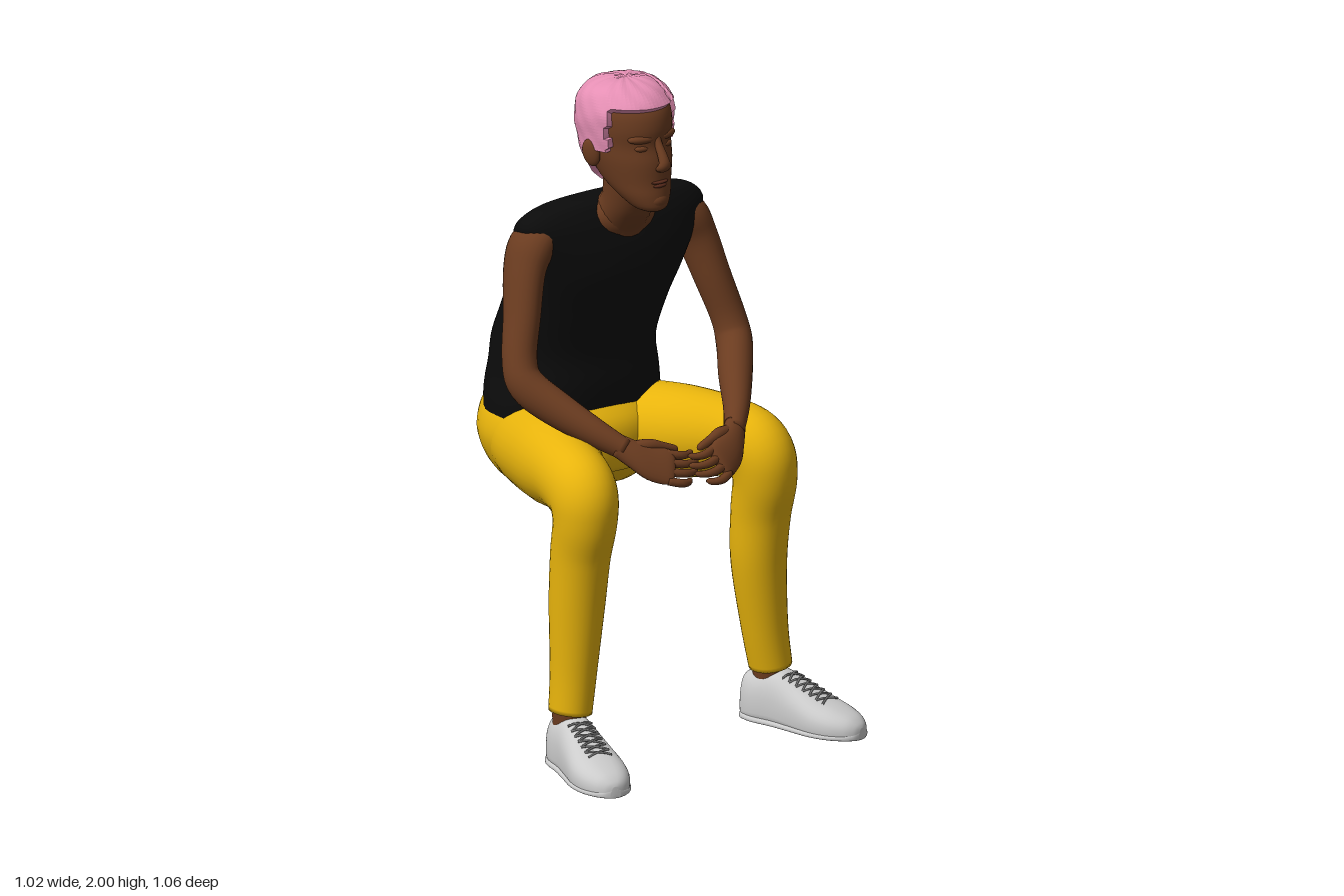
import * as THREE from 'three';

const mat = (color, extra = {}) => new THREE.MeshStandardMaterial({ color, ...extra });
const SKIN = mat(0x6b3c20), SHIRT = mat(0x0b0b0b), PANTS = mat(0xe8b40c);
const HAIR = mat(0xe58fb4, { flatShading: true }), SHOE = mat(0xcccccc), LACE = mat(0x777777), LIP = mat(0x5a2c1c);

const add = (parent, name, geo, material) => {
  const m = new THREE.Mesh(geo, material);
  m.name = name;
  parent.add(m);
  return m;
};

// Smooth interpolation through rows of numbers
function smoothRows(rows, n) {
  const out = [], last = rows.length - 1;
  for (let k = 0; k <= n; k++) {
    const f = (k / n) * last, i = Math.min(Math.floor(f), last - 1), t = f - i;
    const p = rows[Math.max(i - 1, 0)], q = rows[i], r = rows[i + 1], s = rows[Math.min(i + 2, last)];
    out.push(q.map((v, c) => {
      const cubic = 3 * (v - r[c]) + s[c] - p[c];
      const square = 2 * p[c] - 5 * v + 4 * r[c] - s[c];
      return v + 0.5 * t * (r[c] - p[c] + t * (square + t * cubic));
    }));
  }
  return out;
}

// Skin a closed surface over rings of points
function loft(rings) {
  const n = rings[0].length, pos = [], idx = [];
  rings.forEach(r => r.forEach(p => pos.push(p.x, p.y, p.z)));
  for (let i = 0; i < rings.length - 1; i++) for (let j = 0; j < n; j++) {
    const a = i * n + j, b = i * n + (j + 1) % n;
    idx.push(a, b, b + n, a, b + n, a + n);
  }
  [rings[0], rings[rings.length - 1]].forEach((r, e) => {
    const c = r.reduce((s, p) => s.add(p), new THREE.Vector3()).divideScalar(n);
    const ci = pos.length / 3, o = e * (rings.length - 1) * n;
    pos.push(c.x, c.y, c.z);
    for (let j = 0; j < n; j++) {
      const a = o + j, b = o + (j + 1) % n;
      if (e) idx.push(ci, a, b);
      else idx.push(ci, b, a);
    }
  });
  const g = new THREE.BufferGeometry();
  g.setAttribute('position', new THREE.Float32BufferAttribute(pos, 3));
  g.setIndex(idx);
  g.computeVertexNormals();
  return g;
}

const pw = (v, e) => Math.sign(v) * Math.abs(v) ** e;

// Level rings: rows of [y, centre x, back z, front z, half width]
function body(rows, n, seg, e = 1, rule = p => p) {
  return loft(smoothRows(rows, n).map(([y, x, zb, zf, w]) => Array.from({ length: seg }, (_, j) => {
    const t = (j / seg) * Math.PI * 2;
    return rule(new THREE.Vector3(x + w * pw(Math.sin(t), e), y, (zb + zf) / 2 + (zf - zb) / 2 * pw(Math.cos(t), e)), t);
  })));
}

// Limb along a bent path: rows of [x, y, z, radius along ref, other radius]
function limb(rows, n = 30, seg = 24, ref = [1, 0, 0]) {
  const R = smoothRows(rows, n), P = R.map(r => new THREE.Vector3(r[0], r[1], r[2]));
  return loft(R.map((r, i) => {
    const T = P[Math.min(i + 1, n)].clone().sub(P[Math.max(i - 1, 0)]).normalize();
    const side = new THREE.Vector3(...ref);
    side.addScaledVector(T, -T.dot(side)).normalize();
    const up = T.clone().cross(side);
    return Array.from({ length: seg }, (_, j) => {
      const t = (j / seg) * Math.PI * 2;
      return P[i].clone().addScaledVector(side, r[3] * Math.cos(t)).addScaledVector(up, r[4] * Math.sin(t));
    });
  }));
}

function ball(parent, name, material, x, y, z, a, b, c) {
  const m = add(parent, name, new THREE.SphereGeometry(1, 24, 16), material);
  m.position.set(x, y, z);
  m.scale.set(a, b, c);
  return m;
}

function makeHead() {
  const g = new THREE.Group();
  g.name = 'head';
  const rows = [[1.622, 0, .09, .165, .03], [1.635, 0, .06, .18, .052], [1.67, 0, .0, .181, .077], [1.71, 0, -.06, .176, .094],
    [1.77, 0, -.11, .174, .11], [1.82, 0, -.128, .164, .116], [1.87, 0, -.135, .168, .121], [1.92, 0, -.127, .155, .117],
    [1.96, 0, -.095, .115, .095], [1.98, 0, -.045, .07, .058], [1.985, 0, -.0, .03, .02]];
  add(g, 'face', body(rows, 40, 40), SKIN);
  // Hair: the head surface swollen behind the hairline, sunk inside elsewhere
  add(g, 'hair', body(rows, 64, 72, 1, (p, t) => {
    const limit = p.y > 1.925 ? 1 : p.y > 1.8 ? .08 : p.y > 1.69 ? -.025 : -1;
    let s = p.z < limit ? 1.1 + .012 * Math.sin(p.y * 90 + t * 5) * Math.sin(t * 9) : .88;
    if (p.y > 1.9 && p.z > -.04 && Math.abs(p.x - .065) < .007) s -= .04;
    return new THREE.Vector3(p.x * (s > 1 ? s + .06 : s), 1.83 + (p.y - 1.83) * (s > 1 ? 1 + (s - 1) * .9 : s), .02 + (p.z - .02) * s);
  }), HAIR);
  add(g, 'nose', limb([[0, 1.85, .155, .012, .01], [0, 1.825, .166, .012, .012], [0, 1.785, .19, .016, .015],
    [0, 1.766, .192, .021, .016], [0, 1.753, .172, .016, .01]], 14, 16), SKIN);
  ball(g, 'upperLip', LIP, 0, 1.714, .171, .03, .006, .012);
  ball(g, 'lowerLip', LIP, 0, 1.703, .17, .025, .007, .012);
  ball(g, 'chin', SKIN, 0, 1.657, .155, .036, .028, .03);
  for (const s of [-1, 1]) {
    ball(g, 'eyelid', SKIN, s * .046, 1.817, .145, .022, .01, .012).rotation.y = s * .35;
    ball(g, 'brow', SKIN, s * .046, 1.845, .143, .042, .014, .017).rotation.y = s * .35;
    const ear = ball(g, 'ear', SKIN, s * .13, 1.79, .015, .015, .042, .028);
    ear.rotation.set(-.2, s * -.35, s * -.15);
  }
  g.position.x = -.067;
  g.rotation.y = .09;
  return g;
}

function makeShoe(x, z, turn) {
  const g = new THREE.Group();
  g.name = 'shoe';
  // Rows of [z, half width, height]
  const rows = smoothRows([[-.09, .02, .09], [-.078, .042, .135], [-.03, .06, .155], [.04, .063, .165], [.11, .072, .138],
    [.19, .083, .104], [.25, .077, .084], [.295, .057, .066], [.318, .034, .048], [.326, .012, .034]], 40);
  const ring = ([zz, w, h], grow, cut) => Array.from({ length: 32 }, (_, j) => {
    const t = (j / 32) * Math.PI * 2, s = Math.sin(t), hh = Math.min(h, cut);
    const y = hh * (.35 + (s < 0 ? .35 * pw(s, .5) : .65 * pw(s, .9)));
    return new THREE.Vector3((w + grow) * pw(Math.cos(t), s < 0 ? .5 : .8), y, zz);
  });
  add(g, 'upper', loft(rows.map(r => ring(r, 0, 1))), SHOE);
  add(g, 'sole', loft(rows.map(r => ring(r, .003, .028))), SHOE);
  // Crossed laces resting on the tongue
  for (const s of [-1, 1]) for (let k = 0; k < 6; k++) {
    const pts = [-1, -.5, 0, .5, 1].map(u => {
      const zz = .08 + k * .024 + s * u * .012, px = u * .038;
      const i = rows.findIndex(q => q[0] >= zz), f = (zz - rows[i - 1][0]) / (rows[i][0] - rows[i - 1][0]);
      const [w, h] = [1, 2].map(c => rows[i - 1][c] + f * (rows[i][c] - rows[i - 1][c]));
      const sin = Math.sqrt(1 - Math.abs(px / w) ** 2.5);
      return new THREE.Vector3(px, h * (.35 + .65 * sin ** .9) + .003, zz);
    });
    add(g, 'lace', new THREE.TubeGeometry(new THREE.CatmullRomCurve3(pts), 10, .0035, 6), LACE);
  }
  g.position.set(x, 0, z);
  g.rotation.y = turn;
  return g;
}

function makeArm(left) {
  const g = new THREE.Group();
  g.name = left ? 'leftArm' : 'rightArm';
  // The left arm mirrors the right, its hand held a little further forward
  const place = rows => left ? rows.map(([x, y, z, a, b]) =>
    [-.08 - x, y, z + .035 * THREE.MathUtils.clamp((1.1 - y) / .2, 0, 1), a, b]) : rows;
  const across = [left ? -.1 : .1, .8, -.55];
  add(g, 'arm', limb(place([[-.26, 1.53, -.12, .05, .07], [-.307, 1.49, -.115, .062, .08], [-.34, 1.42, -.105, .056, .076],
    [-.372, 1.3, -.07, .052, .064], [-.404, 1.18, -.035, .05, .056], [-.402, 1.11, .0, .052, .06], [-.35, 1.05, .075, .05, .056],
    [-.28, .99, .175, .039, .043], [-.22, .945, .245, .03, .033]]), 40), SKIN);
  add(g, 'palm', limb(place([[-.235, .957, .23, .034, .028], [-.2, .932, .265, .042, .026], [-.16, .908, .295, .054, .024],
    [-.12, .894, .32, .054, .018], [-.105, .889, .326, .046, .011]]), 16, 20, across), SKIN);
  for (let k = 0; k < 4; k++) {
    const u = k - 1.5, len = [.085, .1, .095, .072][k];
    const y = .895 - u * .023, z = .318 + u * .015, x = -.125 - u * .006;
    add(g, 'finger', limb(place([[x, y, z, .013, .013], [x + len * .45, y - .008, z + .016, .013, .013],
      [x + len * .8, y - .012, z + .012, .011, .011], [x + len, y - .01, z + .004, .009, .009],
      [x + len + .008, y - .009, z, .003, .003]]), 12, 10, across), SKIN);
  }
  add(g, 'thumb', limb(place([[-.2, .95, .25, .02, .02], [-.155, .955, .268, .019, .019], [-.115, .946, .278, .014, .014],
    [-.075, .933, .283, .011, .011], [-.065, .93, .284, .003, .003]]), 14, 10, across), SKIN);
  return g;
}

function makeLeg(name, xs, dz, turn) {
  const g = new THREE.Group();
  g.name = name;
  const rows = [[.82, -.37, .11, .115], [.838, -.22, .14, .135], [.855, -.04, .13, .136], [.862, .105, .108, .116], [.836, .19, .1, .114],
    [.765, .212, .093, .1], [.65, .188, .086, .094], [.5, .173, .081, .086], [.3, .167, .068, .073], [.17, .165, .062, .069]];
  // The knee and shin sit further forward on one side
  add(g, 'trouserLeg', limb(rows.map(([y, z, a, b], i) => [xs[i], y, z + dz * Math.min(1, i / 4), a, b]), 56, 32), PANTS);
  const ax = xs[9], az = .165 + dz;
  add(g, 'ankle', limb([[ax, .2, az, .05, .055], [ax, .15, az - .005, .048, .055], [ax, .1, az - .005, .045, .05]], 6), SKIN);
  g.add(makeShoe(ax, az, turn));
  return g;
}

export function createModel() {
  const model = new THREE.Group();
  model.name = 'seatedFigure';
  model.add(makeHead());

  // Neck and open neckline
  add(model, 'neck', limb([[-.035, 1.47, -.09, .1, .075], [-.037, 1.55, -.058, .09, .075], [-.047, 1.63, -.002, .077, .074],
    [-.06, 1.74, .02, .076, .08]], 20), SKIN);
  ball(model, 'neckline', SKIN, -.037, 1.555, -.05, .108, .075, .066);

  // Sleeveless shirt, its hem rising at the back
  add(model, 'shirt', body([[.9, -.05, -.475, -.12, .268], [.96, -.048, -.495, -.095, .262], [1.03, -.045, -.5, -.085, .248],
    [1.13, -.045, -.493, -.085, .236], [1.26, -.042, -.43, -.035, .24], [1.37, -.037, -.36, .008, .256], [1.45, -.035, -.3, .01, .282],
    [1.51, -.035, -.255, -.003, .31], [1.555, -.035, -.215, -.018, .308], [1.593, -.033, -.175, -.04, .255],
    [1.61, -.033, -.145, -.06, .15]], 50, 48, .82, (p, t) => {
    p.y += .1 * Math.max(0, -Math.cos(t)) ** 2 * Math.max(0, 1 - (p.y - .9) / .3);
    return p;
  }), SHIRT);

  // Seat of the trousers with a central crease behind
  add(model, 'seat', body([[.675, -.055, -.36, -.22, .12], [.7, -.055, -.42, -.14, .19], [.76, -.055, -.5, -.07, .245],
    [.84, -.055, -.532, -.05, .275], [.91, -.055, -.532, -.06, .266], [.97, -.05, -.508, -.11, .236], [1.01, -.05, -.475, -.15, .2]],
  32, 48, .92, (p, t) => {
    const c = Math.exp(-(((p.x + .05) / .05) ** 2));
    if (Math.cos(t) < 0) p.z += .02 * c;
    if (p.y < .76) p.y += .02 * c;
    return p;
  }), PANTS);

  model.add(makeLeg('leftLeg', [.08, .108, .178, .25, .278, .287, .289, .292, .315, .338], 0, .37));
  model.add(makeLeg('rightLeg', [-.18, -.215, -.285, -.342, -.365, -.37, -.37, -.372, -.38, -.39], .045, -.17));
  model.add(makeArm(true), makeArm(false));
  return model;
}
